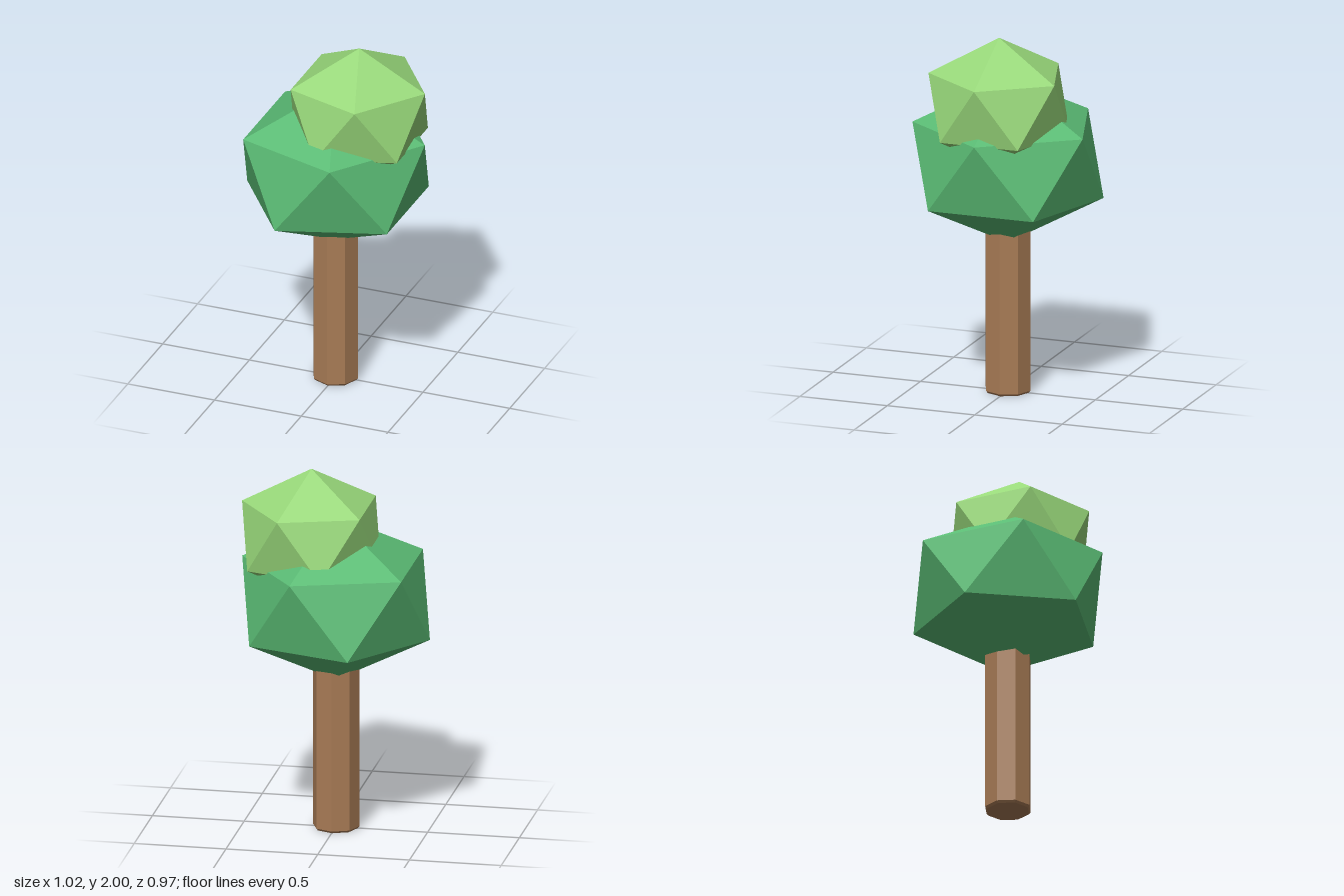
import * as THREE from 'three';

const material = (color) => new THREE.MeshStandardMaterial({ color, flatShading: true });

// Squashed icosahedron standing on a vertex, with an upper-ring vertex towards +x
function crown(name, radius, halfHeight, x, y, color) {
  const geometry = new THREE.IcosahedronGeometry(1, 0);
  geometry.rotateZ(-Math.atan(2 / (1 + Math.sqrt(5))));
  geometry.scale(radius, halfHeight, radius);
  const mesh = new THREE.Mesh(geometry, material(color));
  mesh.name = name;
  mesh.position.set(x, y, 0);
  return mesh;
}

export function createModel() {
  const tree = new THREE.Group();
  tree.name = 'tree';

  // Eight-sided trunk with a slightly bevelled foot; its top is buried in the foliage
  const profile = [[0, 0], [0.118, 0], [0.128, 0.012], [0.128, 1], [0, 1]]
    .map(([r, y]) => new THREE.Vector2(r, y));
  const trunk = new THREE.Mesh(new THREE.LatheGeometry(profile, 8), material(0xa87b55));
  trunk.name = 'trunk';
  trunk.position.x = -0.002;
  tree.add(trunk);

  // Large lower foliage and the smaller one leaning to the side on top
  tree.add(crown('lowerFoliage', 0.572, 0.459, -0.001, 1.285, 0x5abb74));
  tree.add(crown('upperFoliage', 0.423, 0.363, 0.133, 1.637, 0x98d87a));

  return tree;
}
